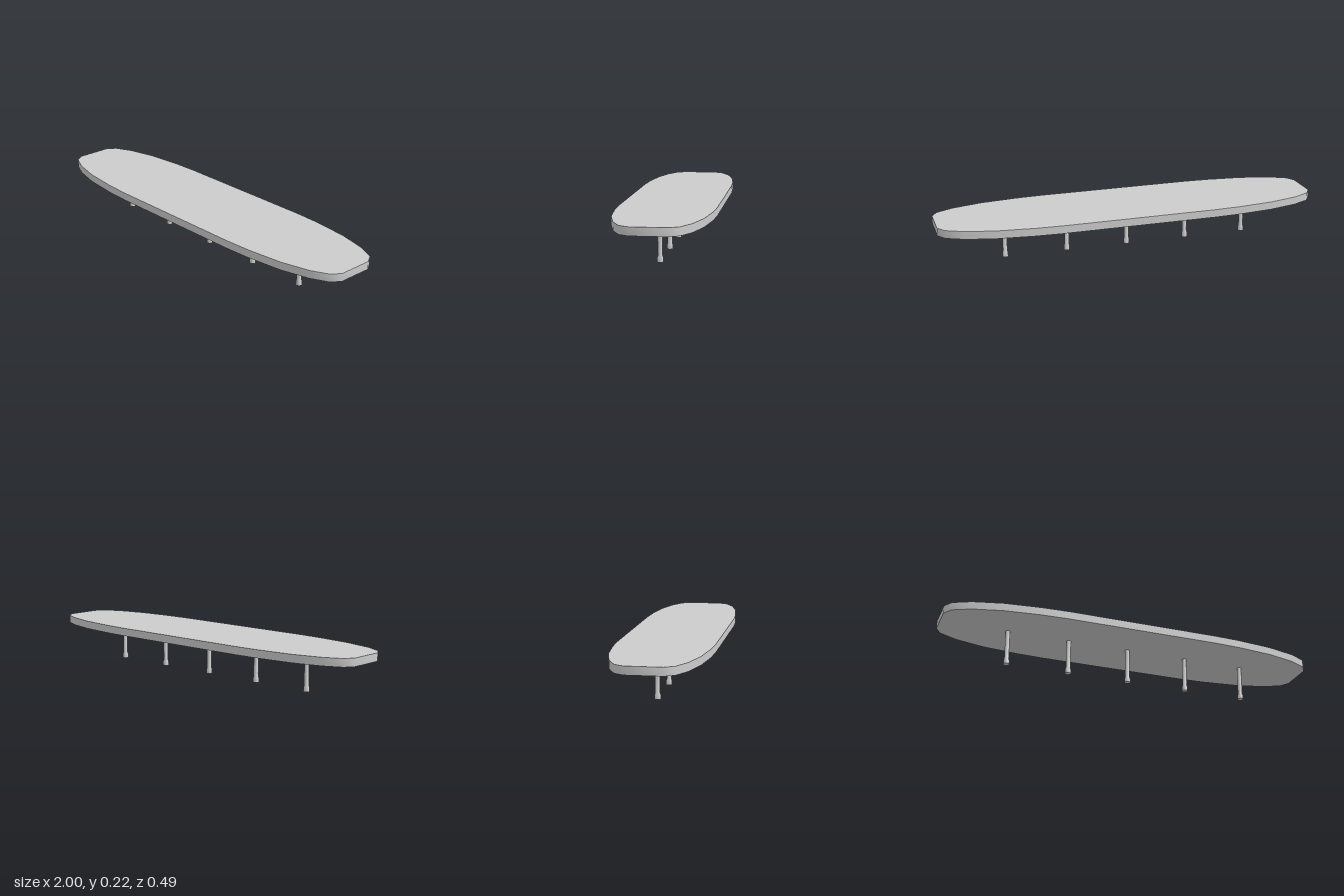
import * as THREE from 'three';
import { toCreasedNormals } from 'three/addons/utils/BufferGeometryUtils.js';

const TOP = 0.225, UNDERSIDE = 0.184;

export function createModel() {
  const model = new THREE.Group();
  model.name = 'longTable';
  const grey = new THREE.MeshStandardMaterial({ color: 0xcccccc });
  grey.name = 'light grey';

  // Tabletop: one quarter of the outline, mirrored to all four corners
  const quarter = [[1, 0.09], [0.97, 0.137], [0.88, 0.18], [0.73, 0.217], [0.54, 0.238], [0.4, 0.244]];
  const mirror = (sx, sz) => quarter.map(([x, z]) => new THREE.Vector2(x * sx, z * sz));
  const outline = new THREE.Shape([
    ...mirror(1, 1),
    ...mirror(-1, 1).reverse(),
    ...mirror(-1, -1),
    ...mirror(1, -1).reverse(),
  ]);
  const slab = new THREE.ExtrudeGeometry(outline, { depth: TOP - UNDERSIDE, bevelEnabled: false });
  slab.rotateX(-Math.PI / 2).translate(0, UNDERSIDE, 0);
  const tabletop = new THREE.Mesh(toCreasedNormals(slab, 0.7), grey);
  tabletop.name = 'tabletop';
  model.add(tabletop);

  // Legs: slim posts, each with a slightly wider foot
  const profile = [[0, 0], [0.0152, 0], [0.0152, 0.021], [0.0118, 0.03], [0.0118, UNDERSIDE]]
    .map(([r, y]) => new THREE.Vector2(r, y));
  const legGeometry = toCreasedNormals(new THREE.LatheGeometry(profile, 16), 0.6);
  for (let i = -2; i <= 2; i++) {
    const leg = new THREE.Mesh(legGeometry, grey);
    leg.name = `leg${i + 3}`;
    leg.position.x = i * 0.325;
    model.add(leg);
  }
  return model;
}
